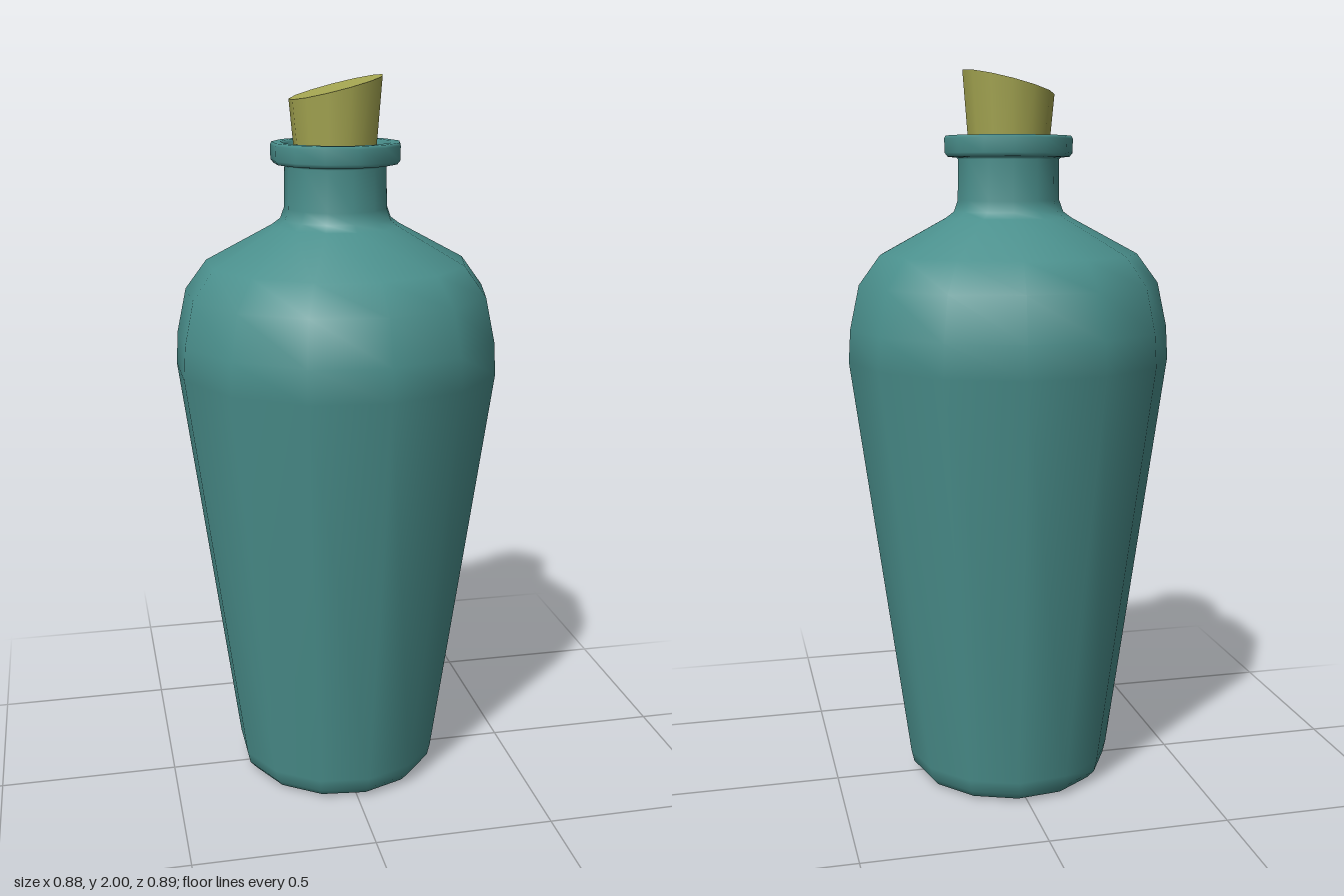
import * as THREE from 'three';

const SIDES = 13;
const OFFSET_X = -0.0065; // an odd-sided ring is not symmetric in x

export function createModel() {
  const model = new THREE.Group();
  model.name = 'corkedBottle';

  const glass = new THREE.MeshStandardMaterial({ color: 0x4a8f8c, side: THREE.DoubleSide });
  const corkMaterial = new THREE.MeshStandardMaterial({ color: 0xa5a651 });

  // Bottle: base, tapered body, shoulder, neck, lip and inner neck wall
  const profile = [
    [0, 0.005], [0.235, 0.005], [0.262, 0.012], [0.282, 0.035], [0.29, 0.07],
    [0.4475, 1.22], [0.442, 1.31], [0.416, 1.43], [0.357, 1.51],
    [0.175, 1.608], [0.152, 1.625], [0.141, 1.655], [0.139, 1.765],
    [0.145, 1.77], [0.168, 1.772], [0.176, 1.782], [0.177, 1.82], [0.173, 1.828],
    [0.15, 1.828], [0.144, 1.823], [0.137, 1.795], [0.122, 1.775], [0.118, 1.62], [0, 1.62],
  ].map(([r, y]) => new THREE.Vector2(r, y));
  const bottle = new THREE.Mesh(new THREE.LatheGeometry(profile, SIDES, Math.PI / 2), glass);
  bottle.name = 'bottle';

  // Cork: tapered plug with a slanted top
  const slope = 0.25;
  const height = 0.32;
  const geometry = new THREE.CylinderGeometry(0.126, 0.098, height, SIDES, 1, false, Math.PI / 2);
  const { position, normal } = geometry.attributes;
  const slantNormal = new THREE.Vector3(-slope, 1, 0).normalize();
  for (let i = 0; i < position.count; i++) {
    if (position.getY(i) < 0) continue;
    position.setY(i, height / 2 + slope * position.getX(i));
    if (normal.getY(i) > 0.9) normal.setXYZ(i, slantNormal.x, slantNormal.y, slantNormal.z);
  }
  const cork = new THREE.Mesh(geometry, corkMaterial);
  cork.name = 'cork';
  cork.position.y = 1.969 - height / 2;

  for (const part of [bottle, cork]) {
    part.position.x = OFFSET_X;
    model.add(part);
  }
  return model;
}
